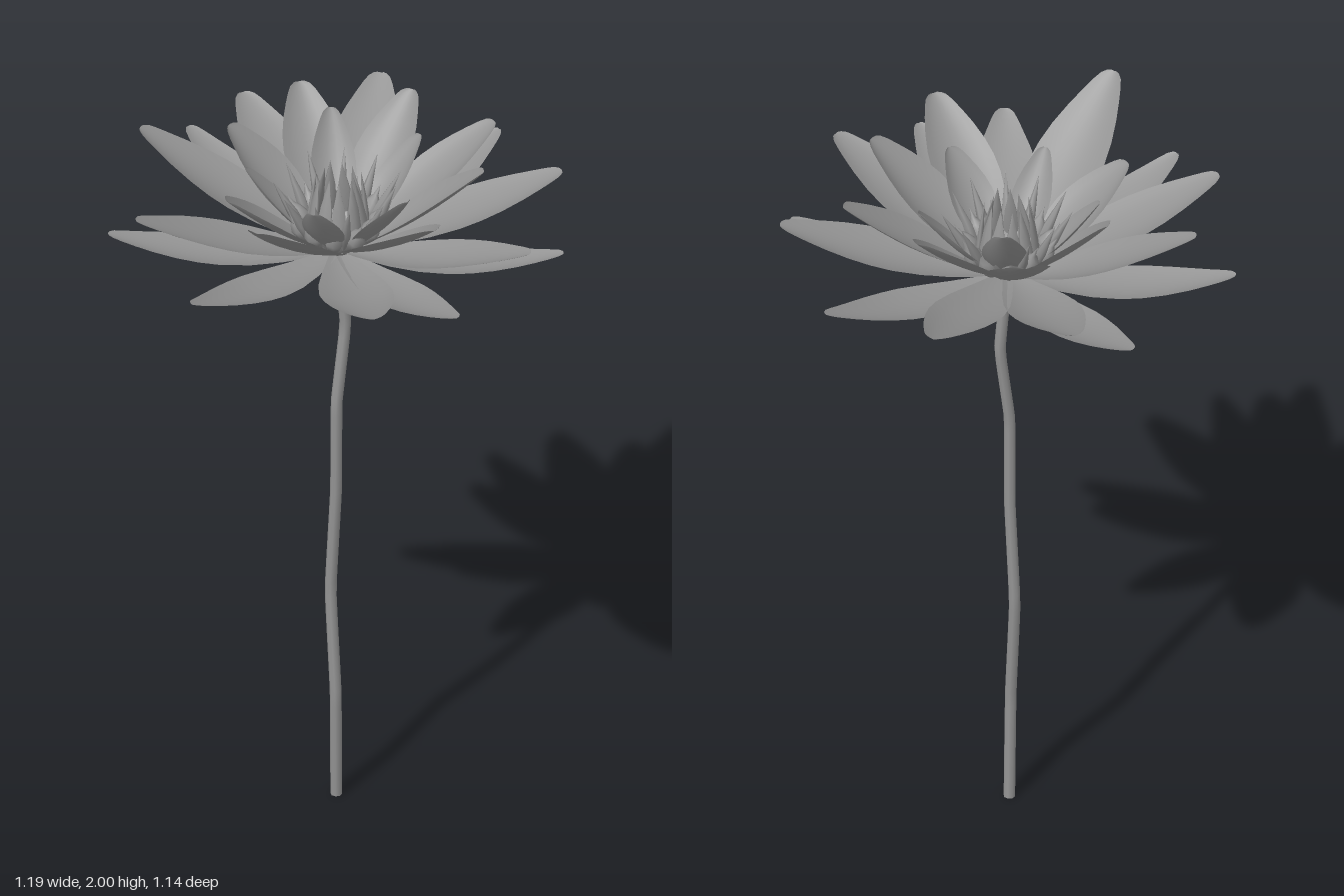
import * as THREE from 'three';

const material = new THREE.MeshStandardMaterial({ color: 0x949494, side: THREE.DoubleSide });
const CENTRE_Z = 0.02;

// Petal outline: [distance along petal, share of full width]
const outline = [[0, 0.25], [0.1, 0.44], [0.22, 0.66], [0.36, 0.87], [0.5, 0.99], [0.6, 1], [0.7, 0.93],
  [0.8, 0.78], [0.88, 0.61], [0.94, 0.46], [0.975, 0.34], [0.993, 0.21], [1, 0.1]];

// Petals by whorl: [tip x, tip y, tip z, width]; taper narrows the outer half
const whorls = [
  { name: 'outerPetal', base: 1.66, start: 0.02, cup: 0.2, sag: 0.038, taper: 0.5, tips: [
    [0.595, 1.71, 0.055, 0.15], [0.36, 1.76, 0.49, 0.16], [-0.33, 1.77, 0.51, 0.16],
    [-0.595, 1.715, 0.09, 0.16], [-0.435, 1.77, -0.38, 0.16], [0.375, 1.78, -0.435, 0.16],
    [0.15, 1.79, 0.568, 0.2]] },
  { name: 'middlePetal', base: 1.67, start: 0.03, cup: 0.22, sag: 0.025, taper: 0.3, tips: [
    [0.05, 1.85, -0.57, 0.195], [0.57, 1.835, -0.15, 0.19], [0.53, 1.84, 0.28, 0.18],
    [-0.16, 2.0, 0.515, 0.21], [-0.50, 1.88, 0.29, 0.19], [-0.53, 1.94, -0.08, 0.19],
    [-0.30, 1.84, -0.45, 0.19]] },
  { name: 'upperPetal', base: 1.68, start: 0.04, cup: 0.3, sag: 0.02, taper: 0.1, tips: [
    [-0.14, 1.95, -0.34, 0.17], [0.16, 1.96, -0.315, 0.16], [0.39, 1.95, -0.19, 0.17],
    [0.39, 1.97, 0.1, 0.18], [0.29, 1.95, 0.37, 0.18], [-0.27, 1.92, 0.23, 0.17],
    [-0.30, 1.95, -0.1, 0.17]] },
  { name: 'innerPetal', base: 1.69, start: 0.05, cup: 0.35, sag: 0.02, taper: 0.1, tips: [
    [-0.045, 1.95, -0.22, 0.12], [0.2, 1.93, -0.14, 0.11], [0.2, 1.92, 0.185, 0.13],
    [-0.04, 1.91, 0.26, 0.11], [-0.24, 1.91, 0.05, 0.11]] },
];

// Cupped blade lofted from the flower centre to its tip
function petalGeometry([x, y, z, width], { base, start, cup, sag, taper }) {
  const dir = new THREE.Vector3(x, 0, z - CENTRE_Z);
  const reach = dir.length();
  dir.normalize();
  const side = new THREE.Vector3(-dir.z, 0, dir.x);
  const run = reach - start, rise = y - base;
  const normal = dir.clone().multiplyScalar(-rise).setY(run).normalize();
  const across = 8, positions = [], index = [];
  outline.forEach(([t, w], row) => {
    const half = (width / 2) * w * (1 - taper * Math.max(0, t - 0.45));
    const spine = dir.clone().multiplyScalar(start + run * t);
    spine.y = base + rise * t - 4 * sag * t * (1 - t);
    spine.z += CENTRE_Z;
    for (let j = 0; j <= across; j++) {
      const v = (j / across) * 2 - 1;
      const p = spine.clone().addScaledVector(side, v * half).addScaledVector(normal, v * v * half * cup);
      positions.push(p.x, p.y, p.z);
      if (row && j) {
        const d = row * (across + 1) + j, b = d - across - 1;
        index.push(b - 1, b, d, b - 1, d, d - 1);
      }
    }
  });
  const geometry = new THREE.BufferGeometry();
  geometry.setAttribute('position', new THREE.Float32BufferAttribute(positions, 3));
  geometry.setIndex(index);
  geometry.computeVertexNormals();
  return geometry;
}

const lathe = (points, sides) =>
  new THREE.LatheGeometry(points.map(([r, y]) => new THREE.Vector2(r, y)), sides);

function addPart(parent, name, geometry) {
  const mesh = new THREE.Mesh(geometry, material);
  mesh.name = name;
  parent.add(mesh);
  return mesh;
}

// Ring of identical stamens, tilted away from the axis
function addRing(parent, name, geometry, count, radius, y, tilt, phase) {
  for (let i = 0; i < count; i++) {
    const pivot = new THREE.Group();
    pivot.name = name;
    pivot.position.z = CENTRE_Z;
    pivot.rotation.y = ((i + phase) / count) * Math.PI * 2;
    const stamen = addPart(pivot, name + 'Blade', geometry);
    stamen.position.set(0, y, radius);
    stamen.rotation.x = tilt + 0.06 * Math.sin(i * 2.4);
    parent.add(pivot);
  }
}

export function createModel() {
  const model = new THREE.Group();
  model.name = 'waterLily';

  // Gently kinked stem with a closed foot
  const path = new THREE.CatmullRomCurve3([
    [-0.005, 0, 0.015], [-0.005, 0.32, 0.03], [-0.02, 0.62, 0.013], [-0.005, 0.93, 0.02],
    [-0.003, 1.2, 0.025], [0.018, 1.43, 0.005], [0, 1.67, 0.016],
  ].map((p) => new THREE.Vector3(...p)), false, 'catmullrom', 0.12);
  addPart(model, 'stem', new THREE.TubeGeometry(path, 36, 0.0155, 8));
  const foot = addPart(model, 'stemFoot', new THREE.CircleGeometry(0.0155, 8));
  foot.rotation.x = Math.PI / 2;
  foot.position.set(-0.005, 0.001, 0.015);

  // Petals
  for (const whorl of whorls) {
    for (const tip of whorl.tips) addPart(model, whorl.name, petalGeometry(tip, whorl));
  }

  // Hollow cup with a low dome at the heart
  const heart = addPart(model, 'heartCup', lathe([[0.012, 1.655], [0.035, 1.665], [0.062, 1.69],
    [0.078, 1.72], [0.082, 1.755], [0.076, 1.757], [0.068, 1.73], [0.04, 1.715], [0, 1.725]], 24));
  heart.position.z = CENTRE_Z;

  // Stamens: round bulbs, spreading spikes, and broad blades leaning inward
  const bulb = lathe([[0, 0], [0.013, 0.015], [0.024, 0.042], [0.026, 0.062], [0.017, 0.085],
    [0.007, 0.1], [0, 0.13]], 8);
  const spike = lathe([[0.004, 0], [0.012, 0.04], [0.014, 0.08], [0.008, 0.13], [0, 0.19]], 6);
  const blade = lathe([[0.02, 0], [0.022, 0.04], [0.018, 0.09], [0.009, 0.13], [0, 0.17]], 6);
  blade.scale(1, 1, 0.35);
  addRing(model, 'bulbStamen', bulb, 11, 0.074, 1.7, 0.5, 0);
  addRing(model, 'spikeStamen', spike, 11, 0.08, 1.71, 0.48, 0.5);
  addRing(model, 'innerStamen', blade, 11, 0.078, 1.73, -0.15, 0.25);

  return model;
}
